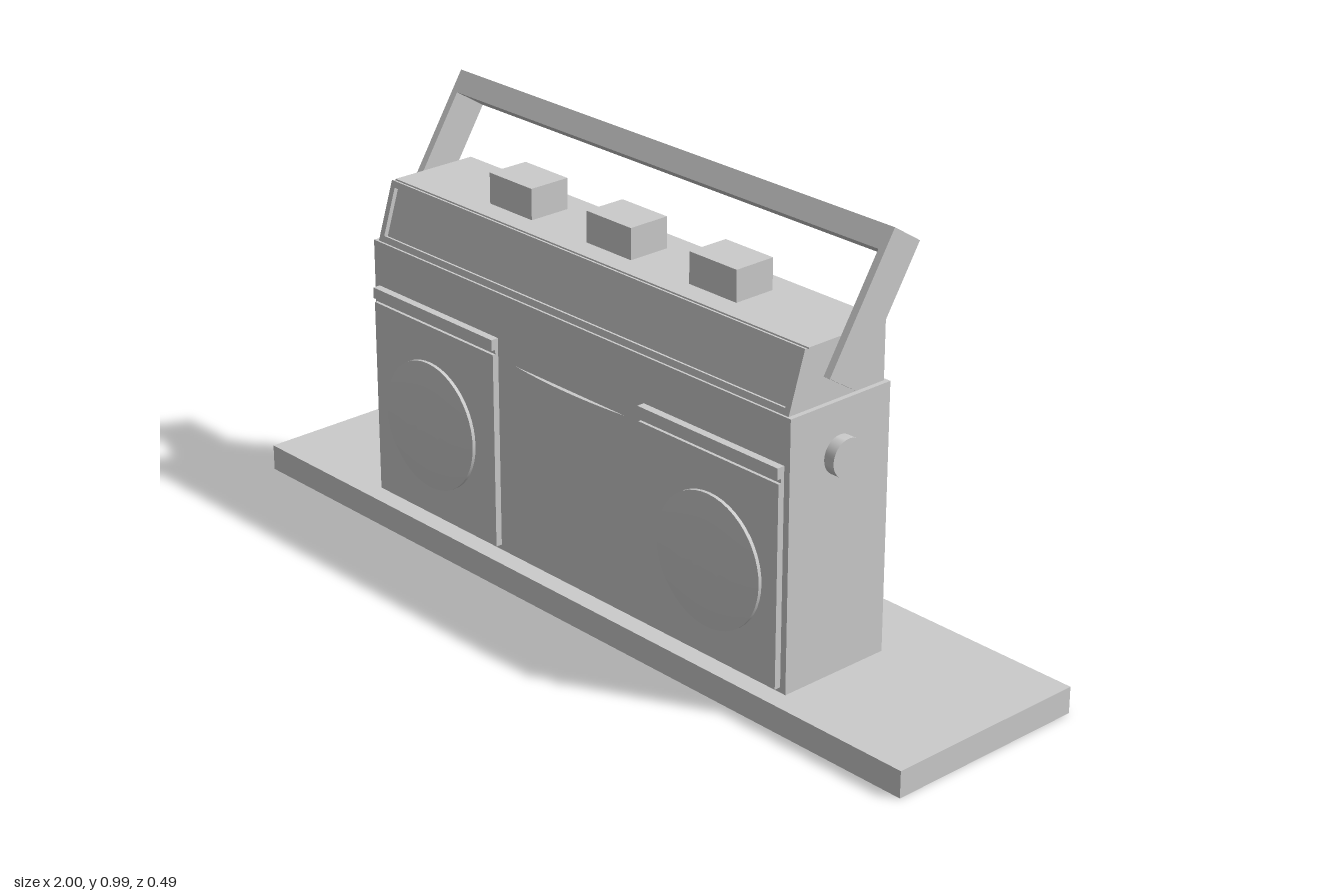
import * as THREE from 'three';
import { toCreasedNormals } from 'three/addons/utils/BufferGeometryUtils.js';

const material = new THREE.MeshStandardMaterial({ color: 0xcccccc });

function add(parent, name, geometry, x = 0, y = 0, z = 0) {
  const mesh = new THREE.Mesh(geometry, material);
  mesh.name = name;
  mesh.position.set(x, y, z);
  parent.add(mesh);
  return mesh;
}

// Box given by its minimum and maximum on each axis
function addBox(parent, name, [x0, x1], [y0, y1], [z0, z1]) {
  return add(parent, name, new THREE.BoxGeometry(x1 - x0, y1 - y0, z1 - z0),
    (x0 + x1) / 2, (y0 + y1) / 2, (z0 + z1) / 2);
}

function shapeOf(points) {
  return new THREE.Shape(points.map(([x, y]) => new THREE.Vector2(x, y)));
}

function extrude(shape, depth) {
  return new THREE.ExtrudeGeometry(shape, { depth, bevelEnabled: false, curveSegments: 16 });
}

export function createModel() {
  const model = new THREE.Group();
  model.name = 'portableRadio';
  addBox(model, 'basePlate', [-1, 1], [0, 0.06], [-0.245, 0.245]);

  const radio = new THREE.Group();
  radio.name = 'radio';
  radio.position.x = -0.003;
  model.add(radio);
  addBox(radio, 'body', [-0.645, 0.645], [0.06, 0.66], [-0.075, 0.2]);

  // Upper housing: side profile swept along x, its sloping face set back inside a frame
  const halfWidth = 0.634, recess = 0.01;
  const bottom = [0.195, 0.66], top = [0.154, 0.79];
  const slope = Math.atan2(bottom[0] - top[0], top[1] - bottom[1]);
  const slopeLength = Math.hypot(bottom[0] - top[0], top[1] - bottom[1]);
  const setBack = recess / Math.cos(slope);
  const profile = shapeOf([
    [0.068, 0.66], [0.068, 0.79], [setBack - top[0], 0.79], [setBack - bottom[0], 0.66],
  ]);
  const housing = add(radio, 'upperHousing', extrude(profile, halfWidth * 2), -halfWidth);
  housing.rotation.y = Math.PI / 2;

  const m = 0.014;
  const frame = shapeOf([
    [-halfWidth, 0], [halfWidth, 0], [halfWidth, slopeLength], [-halfWidth, slopeLength],
  ]);
  frame.holes.push(new THREE.Path([
    [m - halfWidth, m], [m - halfWidth, slopeLength - m],
    [halfWidth - m, slopeLength - m], [halfWidth - m, m],
  ].map(([x, y]) => new THREE.Vector2(x, y))));
  const frameGeometry = extrude(frame, recess).translate(0, 0, -recess);
  add(radio, 'dialFrame', frameGeometry, 0, bottom[1], bottom[0]).rotation.x = -slope;

  // Top buttons
  for (const x of [-0.31, 0, 0.31]) {
    addBox(radio, 'topButton', [x - 0.068, x + 0.068], [0.78, 0.86], [-0.01, 0.09]);
  }

  // Speakers: panel, upper lip and domed grille
  const dome = new THREE.LatheGeometry([
    [0.148, 0], [0.148, 0.008], [0.12, 0.0115], [0.08, 0.0135], [0.04, 0.0147], [0, 0.015],
  ].map(([r, y]) => new THREE.Vector2(r, y)), 48).rotateX(Math.PI / 2);
  const grille = toCreasedNormals(dome, 0.6);
  for (const side of [-1, 1]) {
    const speaker = new THREE.Group();
    speaker.name = side > 0 ? 'leftSpeaker' : 'rightSpeaker';
    radio.add(speaker);
    const span = side > 0 ? [0.228, 0.63] : [-0.63, -0.228];
    addBox(speaker, 'speakerPanel', span, [0.072, 0.522], [0.19, 0.215]);
    addBox(speaker, 'panelGroove', span, [0.522, 0.532], [0.19, 0.208]);
    addBox(speaker, 'panelLip', span, [0.532, 0.557], [0.19, 0.218]);
    add(speaker, 'speakerGrille', grille, side * 0.44, 0.29, 0.215);
  }

  // Cassette door, gently bowed outward
  const bow = new THREE.Shape();
  bow.moveTo(-0.18, 0);
  bow.lineTo(0.18, 0);
  bow.quadraticCurveTo(0, -0.022, -0.18, 0);
  const door = toCreasedNormals(extrude(bow, 0.165).rotateX(-Math.PI / 2), 0.5);
  add(radio, 'cassetteDoor', door, 0, 0.345, 0.199);

  // Side knob
  const knob = new THREE.CylinderGeometry(0.042, 0.042, 0.035, 32).rotateZ(Math.PI / 2);
  add(radio, 'tuningKnob', toCreasedNormals(knob, 0.6), 0.653, 0.545, 0.064);

  // Carrying handle, leaning backward
  const outer = 0.655, inner = 0.638, length = 0.317, bar = 0.05;
  const handle = shapeOf([
    [-outer, 0], [-inner, 0], [-inner, length - bar], [inner, length - bar],
    [inner, 0], [outer, 0], [outer, length], [-outer, length],
  ]);
  const handleGeometry = extrude(handle, 0.085).translate(0, 0, -0.085);
  add(radio, 'handle', handleGeometry, 0, 0.72, 0.106).rotation.x = -0.562;

  return model;
}
